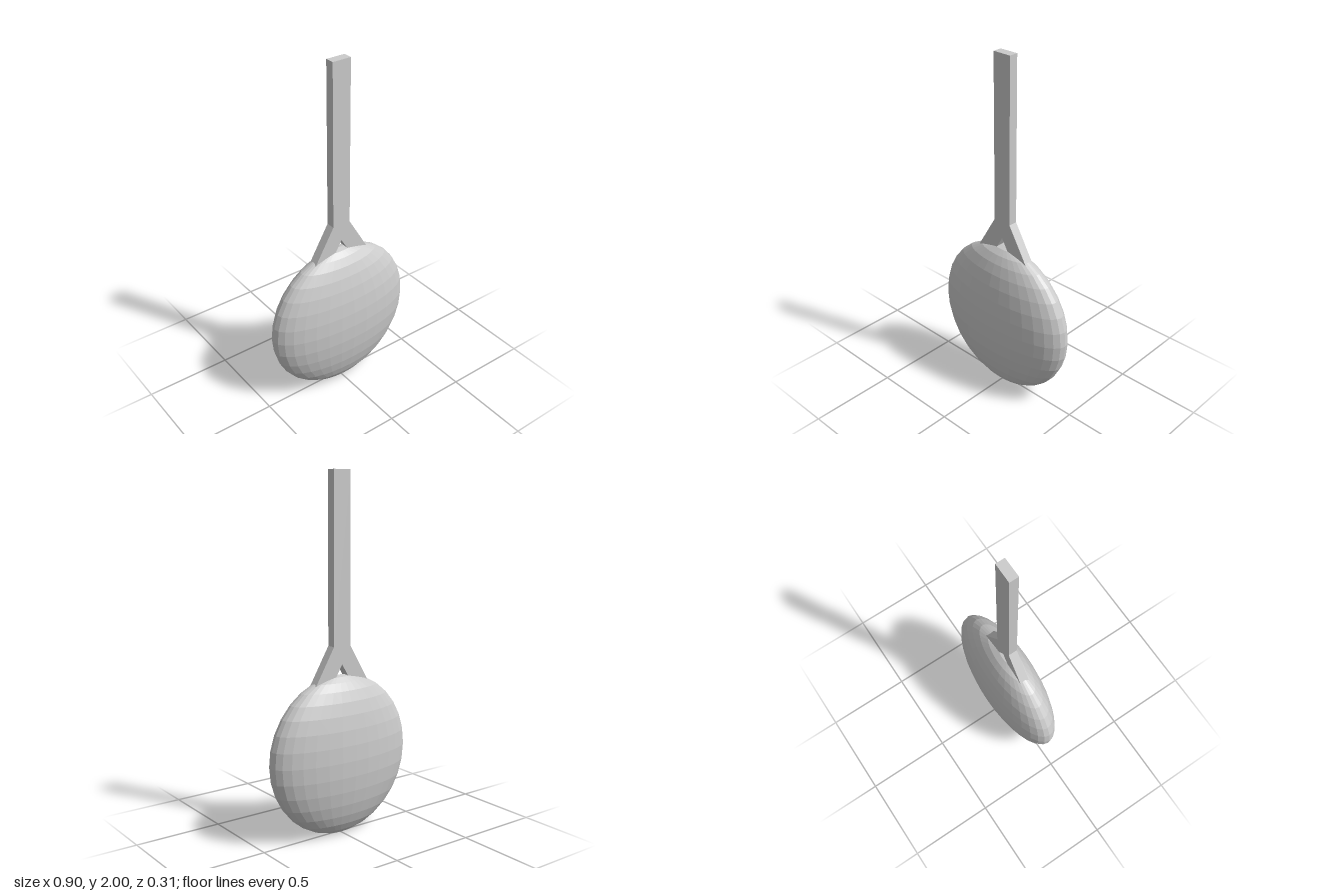
import * as THREE from 'three';

export function createModel() {
  const group = new THREE.Group();
  const material = new THREE.MeshStandardMaterial({ color: 0xcccccc, flatShading: true });

  // Flattened round bob
  const bobGeometry = new THREE.SphereGeometry(1, 32, 16);
  bobGeometry.scale(0.45, 0.4525, 0.155);
  const bob = new THREE.Mesh(bobGeometry, material);
  bob.name = 'bob';
  bob.position.y = 0.4525;
  group.add(bob);

  // Flat rod, forked at its lower end; the fork tips are sunk into the bob
  const half = [[0.055, 2], [0.055, 1.065], [0.211, 0.8], [0.097, 0.8]];
  const outline = [
    ...half,
    [0, 0.965],
    ...half.map(([x, y]) => [-x, y]).reverse(),
  ];
  const depth = 0.052;
  const rodGeometry = new THREE.ExtrudeGeometry(
    new THREE.Shape(outline.map(([x, y]) => new THREE.Vector2(x, y))),
    { depth, bevelEnabled: false },
  );
  rodGeometry.translate(0, 0, -depth / 2);
  const rod = new THREE.Mesh(rodGeometry, material);
  rod.name = 'forkedRod';
  group.add(rod);

  return group;
}
